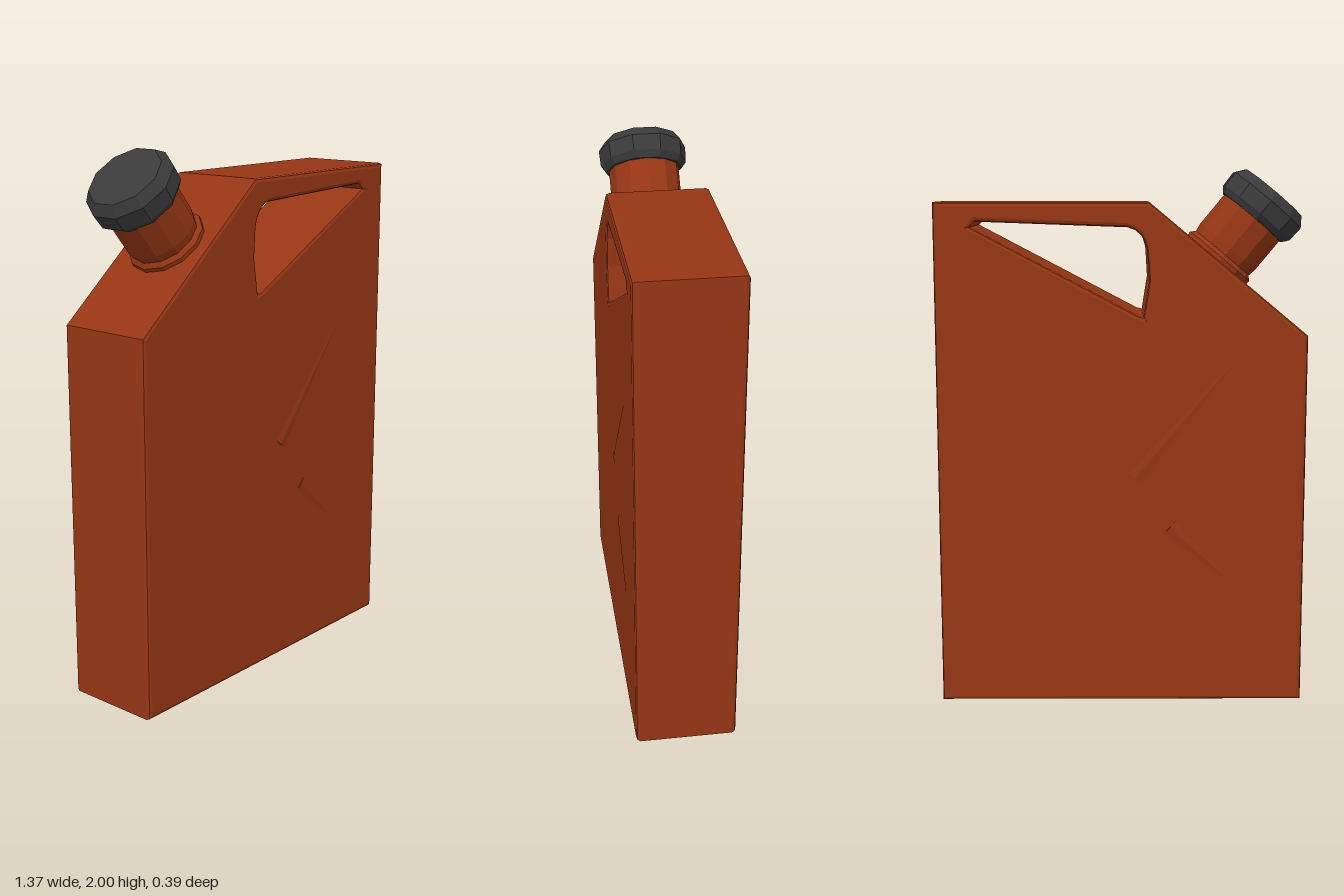
import * as THREE from 'three';

const red = new THREE.MeshStandardMaterial({ color: 0x963615, flatShading: true });
const black = new THREE.MeshStandardMaterial({ color: 0x3a3a3a, flatShading: true });
const HALF_DEPTH = 0.19;
const BEVEL = 0.015;

function add(parent, name, geometry, material) {
  const mesh = new THREE.Mesh(geometry, material);
  mesh.name = name;
  parent.add(mesh);
  return mesh;
}

// Lathe from [radius, height] pairs
function turned(profile, sides) {
  return new THREE.LatheGeometry(profile.map(([r, h]) => new THREE.Vector2(r, h)), sides);
}

// Slab with a sloped shoulder and a handle opening
function bodyGeometry() {
  const shape = new THREE.Shape();
  shape.moveTo(-0.685, 0);
  shape.lineTo(0.685, 0);
  shape.lineTo(0.685, 1.885);
  shape.lineTo(-0.1, 1.885);
  shape.lineTo(-0.685, 1.4);
  shape.closePath();

  const hole = new THREE.Path();
  hole.moveTo(-0.08, 1.47);
  hole.lineTo(-0.1, 1.6);
  hole.lineTo(-0.093, 1.71);
  hole.quadraticCurveTo(-0.08, 1.785, -0.02, 1.795);
  hole.lineTo(0.53, 1.815);
  hole.lineTo(0.55, 1.795);
  hole.lineTo(-0.06, 1.475);
  hole.closePath();
  shape.holes.push(hole);

  const geometry = new THREE.ExtrudeGeometry(shape, {
    depth: 2 * (HALF_DEPTH - BEVEL),
    bevelEnabled: true,
    bevelThickness: BEVEL,
    bevelSize: BEVEL,
    bevelOffset: -BEVEL,
    bevelSegments: 2,
    curveSegments: 4,
  });
  return geometry.translate(0, 0, -(HALF_DEPTH - BEVEL));
}

// Very shallow pressed crease lying on a side face
function crease(parent, x0, y0, x1, y1, z) {
  const length = Math.hypot(x1 - x0, y1 - y0);
  const geometry = new THREE.CylinderGeometry(0.005, 0.03, length, 4);
  geometry.scale(1, 1, 0.13);
  const mesh = add(parent, 'sideCrease', geometry, red);
  mesh.position.set((x0 + x1) / 2, (y0 + y1) / 2, z);
  mesh.rotation.z = Math.atan2(y1 - y0, x1 - x0) - Math.PI / 2;
}

export function createModel() {
  const model = new THREE.Group();
  model.name = 'fuelCan';

  add(model, 'body', bodyGeometry(), red);

  // Front and back creases, mirrored in x
  for (const side of [1, -1]) {
    const z = side * HALF_DEPTH;
    crease(model, side * 0.05, 0.87, side * 0.4, 1.29, z);
    crease(model, side * 0.18, 0.68, side * 0.4, 0.48, z);
  }

  // Spout stands square to the sloped shoulder
  const spout = new THREE.Group();
  spout.name = 'spout';
  spout.position.set(-0.36, 1.67, 0);
  spout.rotation.z = Math.atan2(0.485, 0.585);
  model.add(spout);

  add(spout, 'neck', turned([
    [0.145, -0.03], [0.145, 0.015], [0.13, 0.03], [0.135, 0.06], [0.135, 0.25],
  ], 12), red);

  add(spout, 'cap', turned([
    [0, 0.2], [0.145, 0.2], [0.165, 0.225], [0.168, 0.285], [0.14, 0.322], [0, 0.328],
  ], 10), black);

  return model;
}
